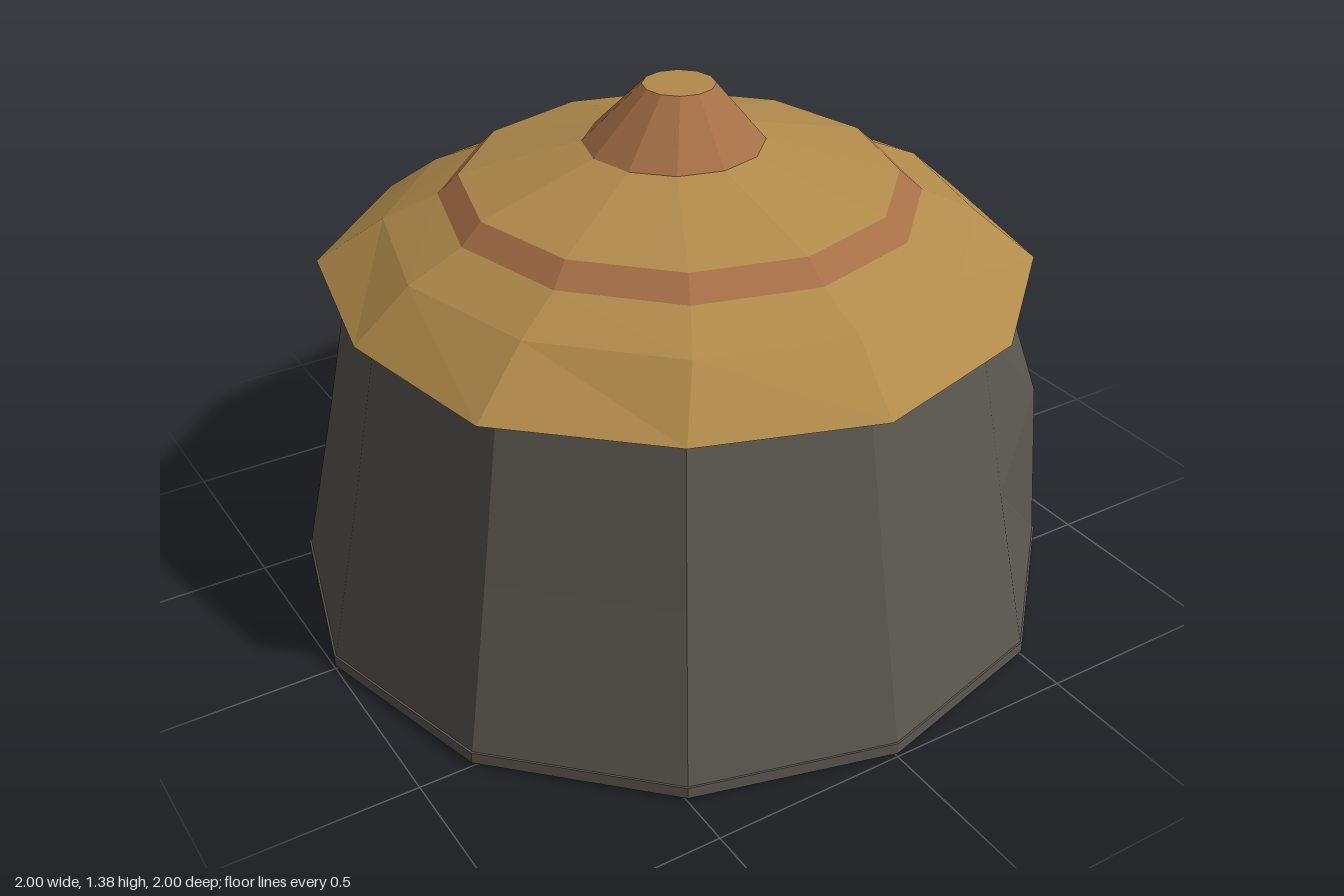
import * as THREE from 'three';

const SIDES = 12;
const STONE = 0x5c5851, THATCH = 0xb18b4b, BINDING = 0xa67047;

// Twelve points round a centre; radius and height may vary per corner
function ring(radius, y, cx = 0, cz = 0) {
  return Array.from({ length: SIDES }, (_, i) => {
    const a = (i / SIDES) * Math.PI * 2;
    const r = typeof radius === 'function' ? radius(i) : radius;
    const x = cx + r * Math.cos(a), z = cz + r * Math.sin(a);
    return new THREE.Vector3(x, typeof y === 'function' ? y(x, z) : y, z);
  });
}

function addQuad(out, a, b, c, d) {
  for (const [p, q, r] of [[a, b, c], [a, c, d]]) {
    const area = q.clone().sub(p).cross(r.clone().sub(p)).length();
    if (area > 1e-7) out.push(p, q, r);
  }
}

// Flat-sided skin through rings listed from bottom to top on the outside
function loft(rings, skip = () => false) {
  const out = [];
  for (let j = 0; j < rings.length - 1; j++) {
    for (let i = 0; i < SIDES; i++) {
      if (skip(j, i)) continue;
      const k = (i + 1) % SIDES;
      addQuad(out, rings[j][i], rings[j + 1][i], rings[j + 1][k], rings[j][k]);
    }
  }
  return out;
}

function part(name, points, color) {
  const geometry = new THREE.BufferGeometry().setFromPoints(points);
  geometry.computeVertexNormals();
  const mesh = new THREE.Mesh(geometry, new THREE.MeshStandardMaterial({ color, flatShading: true }));
  mesh.name = name;
  return mesh;
}

export function createModel() {
  const hut = new THREE.Group();
  hut.name = 'roundHut';

  // Floor slab with a bevelled foot
  hut.add(part('floorSlab', loft([
    ring(0, 0), ring(0.95, 0), ring(1, 0.01), ring(1, 0.04), ring(0, 0.04),
  ]), STONE));

  // Thick, hollow, tapering wall; the door post corner is pushed outwards
  const outer = [ring(0.995, 0.04), ring(0.905, 0.46), ring((i) => (i === 0 ? 0.84 : 0.82), 0.89)];
  const inner = [ring(0.89, 0.04), ring(0.82, 0.46), ring(0.74, 0.89)];
  outer[1][0].set(0.965, 0.46, 0.03);
  outer[1][1].set(0.86, 0.46, 0.45);
  inner[0][0].set(0.92, 0.04, 0.015);
  inner[1][0].set(0.905, 0.46, 0.04);
  const wall = loft([...outer, ...[...inner].reverse()],
    (j, i) => i === 0 && (j === 0 || j === 4));
  hut.add(part('wall', wall, STONE));

  // Door jambs and lintel through the thickness of the wall
  const frame = [];
  addQuad(frame, outer[0][0], outer[1][0], inner[1][0], inner[0][0]);
  addQuad(frame, inner[0][1], inner[1][1], outer[1][1], outer[0][1]);
  addQuad(frame, outer[1][0], outer[1][1], inner[1][1], inner[1][0]);
  hut.add(part('doorFrame', frame, STONE));

  // Roof tiers, slightly uneven and leaning
  const eaveRadii = [0.9, 0.92, 0.895, 0.9, 0.875, 0.9, 0.87, 0.9, 0.88, 0.91, 0.935, 0.905];
  const eave = ring((i) => eaveRadii[i], (x, z) => 0.887 - 0.02 * z);
  const bandLow = ring(0.6, (x, z) => 1.083 - 0.008 * z, 0.005, 0.025);
  const bandHigh = ring(0.545, (x, z) => 1.133 - 0.008 * z, 0.005, 0.02);
  const capLow = ring(0.225, 1.225, -0.015, 0.025);
  const capHigh = ring(0.09, 1.375, -0.01, 0.04);
  const roof = new THREE.Group();
  roof.name = 'roof';
  roof.add(
    part('lowerThatch', loft([
      ring(0, 0.87), ring(0.84, (x, z) => 0.866 - 0.012 * z), eave,
      ring(0.74, 1.015, 0.01, 0.015), bandLow,
    ]), THATCH),
    part('bindingBand', loft([bandLow, bandHigh]), BINDING),
    part('upperThatch', loft([bandHigh, capLow]), THATCH),
    part('roofCap', loft([capLow, capHigh]), BINDING),
    part('roofCapTop', loft([capHigh, ring(0, 1.375, -0.01, 0.04)]), THATCH),
  );
  hut.add(roof);
  return hut;
}
